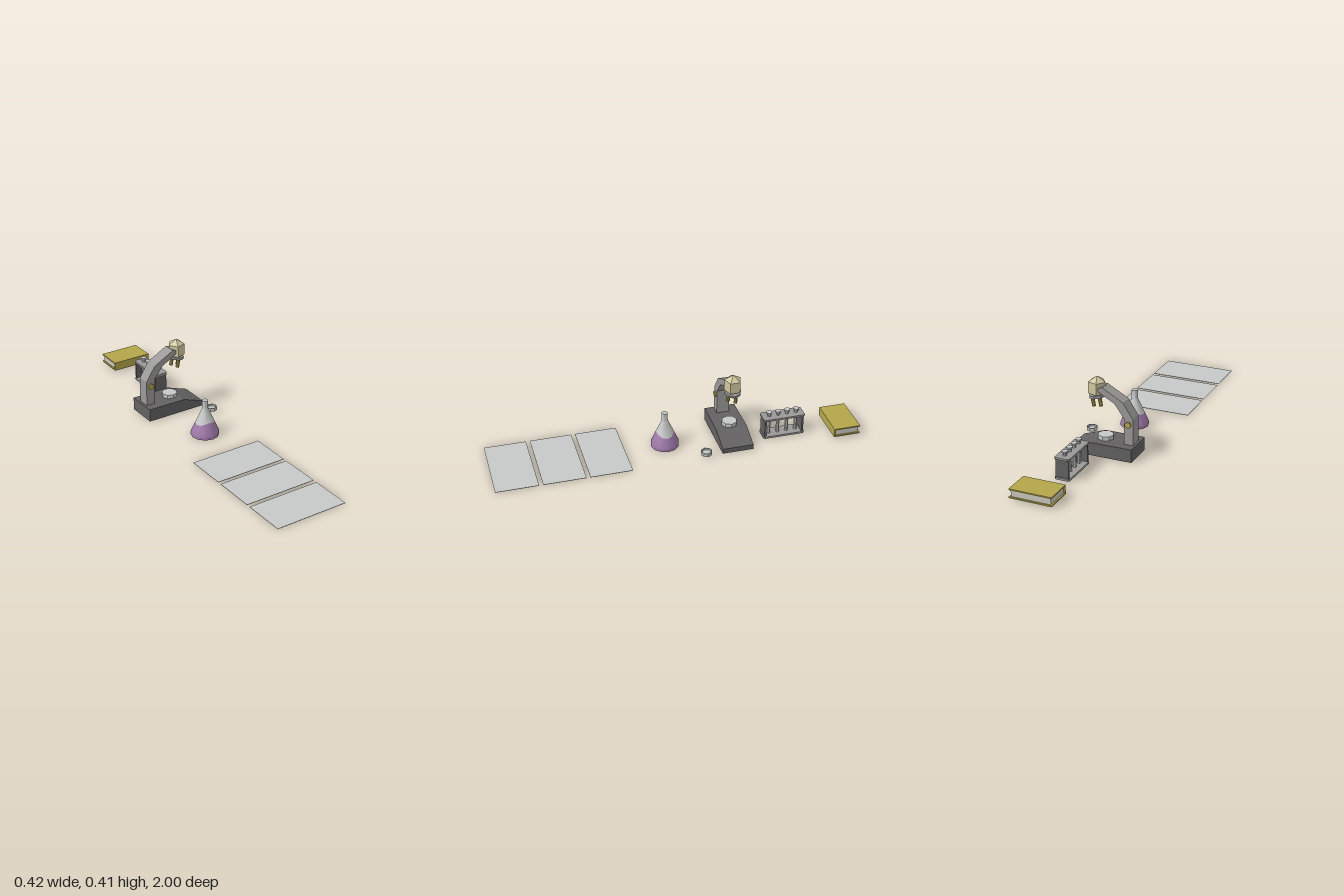
import * as THREE from 'three';
import { toCreasedNormals } from 'three/addons/utils/BufferGeometryUtils.js';

const paint = (name, color) => {
  const m = new THREE.MeshStandardMaterial({ color });
  m.name = name;
  return m;
};

export function createModel() {
  const mats = {
    dark: paint('darkGrey', 0x636161),
    mid: paint('midGrey', 0x9a9998),
    light: paint('lightGrey', 0xc6c9c8),
    yellow: paint('mustard', 0xb3a64b),
    beige: paint('beige', 0xcfc7a0),
    purple: paint('purple', 0xa07aaa),
    pages: paint('pages', 0xcac7ba),
  };
  const model = new THREE.Group();
  model.name = 'laboratorySet';
  const group = (name, parent = model) => {
    const g = new THREE.Group();
    g.name = name;
    parent.add(g);
    return g;
  };
  // adds a mesh; a small crease angle leaves every facet flat
  const add = (parent, name, geo, mat, x = 0, y = 0, z = 0, crease = 0.3) => {
    const mesh = new THREE.Mesh(toCreasedNormals(geo, crease), mat);
    mesh.name = name;
    mesh.position.set(x, y, z);
    parent.add(mesh);
    return mesh;
  };
  const box = (w, h, d) => new THREE.BoxGeometry(w, h, d);
  const cyl = (rt, rb, h, n, start = 0) => new THREE.CylinderGeometry(rt, rb, h, n, 1, false, start);
  const lathe = (pts, n) => new THREE.LatheGeometry(pts.map(p => new THREE.Vector2(...p)), n);
  const slab = (pts, depth) => new THREE.ExtrudeGeometry(
    new THREE.Shape(pts.map(p => new THREE.Vector2(...p))), { depth, bevelEnabled: false }
  ).translate(0, 0, -depth / 2);

  // three sheets of paper
  const sheets = group('paperSheets');
  for (const z of [0.387, 0.636, 0.886]) add(sheets, 'sheet', box(0.412, 0.002, 0.228), mats.light, -0.004, 0.001, z);

  // flask: liquid and glass meet in a wavy ring on the cone
  const flask = group('flask');
  flask.position.set(0.011, 0, 0.05);
  const R = 0.077, neck = 0.0165, y0 = 0.018, y1 = 0.157, level = 0.078;
  const coneR = y => R + (neck - R) * (y - y0) / (y1 - y0);
  const wavy = geo => {
    const p = geo.attributes.position;
    for (let i = 0; i < p.count; i++) {
      if (Math.abs(p.getY(i) - level) > 1e-4) continue;
      const a = Math.atan2(p.getX(i), p.getZ(i));
      const y = level + 0.008 * Math.cos(2 * a);
      p.setXYZ(i, Math.sin(a) * coneR(y), y, Math.cos(a) * coneR(y));
    }
    return geo;
  };
  add(flask, 'liquid', wavy(lathe([[R, 0], [R, y0], [coneR(level), level]], 12)), mats.purple, 0, 0, 0, 0.56);
  add(flask, 'glass', wavy(lathe([[coneR(level), level], [neck, y1], [neck, 0.204], [0, 0.204]], 12)), mats.light, 0, 0, 0, 0.56);
  add(flask, 'flaskBottom', new THREE.CircleGeometry(R, 12).rotateX(Math.PI / 2), mats.light);

  // shallow dish with a recessed top
  add(model, 'dish', lathe([[0, 0.015], [0.031, 0.015], [0.031, 0.034], [0.025, 0.034], [0.025, 0.024], [0, 0.024]], 8),
    mats.light, 0.178, 0, -0.135);

  // microscope
  const scope = group('microscope');
  scope.position.z = -0.312;
  add(scope, 'base', slab([[-0.167, 0], [0.18, 0], [0.18, 0.028], [0.055, 0.072], [-0.167, 0.072]], 0.172), mats.dark);
  add(scope, 'stage', cyl(0.043, 0.043, 0.022, 8), mats.light, 0.014, 0.083, 0);
  add(scope, 'arm', slab([[-0.154, 0.07], [-0.104, 0.07], [-0.104, 0.215], [-0.049, 0.288], [0.015, 0.322],
    [0.04, 0.338], [0.04, 0.356], [0.017, 0.363], [-0.099, 0.299], [-0.154, 0.215]], 0.07), mats.mid);
  add(scope, 'focusKnobs', cyl(0.0165, 0.0165, 0.09, 10).rotateX(Math.PI / 2), mats.yellow, -0.128, 0.184, 0);

  // five-sided head with pointed top and tapered underside
  add(scope, 'head', lathe([[0, 0.298], [0.047, 0.317], [0.047, 0.38], [0, 0.409]], 5).rotateY(-Math.PI / 2),
    mats.beige, 0.061, 0, 0);

  // tilted turret with three lenses
  const turret = group('turret', scope);
  turret.position.set(0.058, 0.3035, 0);
  turret.rotation.z = -0.178;
  add(turret, 'turretDisc', cyl(0.0455, 0.0455, 0.014, 8), mats.mid);
  for (let i = 0; i < 3; i++) {
    const a = (28 + i * 120) * Math.PI / 180;
    add(turret, 'lens', cyl(0.01, 0.01, 0.05, 8), mats.yellow, 0.0055 + 0.0237 * Math.cos(a), -0.031, -0.0237 * Math.sin(a));
  }

  // test tube rack
  const rack = group('tubeRack');
  rack.position.set(0.067, 0, -0.598);
  const w = 0.041, l = 0.117, c = 0.008;
  const plate = () => slab([[-w + c, -l], [w - c, -l], [w, -l + c], [w, l - c], [w - c, l], [-w + c, l], [-w, l - c], [-w, -l + c]],
    0.011).rotateX(-Math.PI / 2);
  add(rack, 'rackBottom', plate(), mats.mid, 0, 0.0055, 0);
  add(rack, 'rackTop', plate(), mats.mid, 0, 0.114, 0);
  for (const s of [-1, 1]) add(rack, 'rackEnd', box(0.072, 0.098, 0.01), mats.dark, 0, 0.0598, s * 0.106);
  for (let i = 0; i < 4; i++) {
    const z = (i - 1.5) * 0.0513;
    add(rack, 'tube', cyl(0.01, 0.01, 0.128, 8), mats.light, 0, 0.074, z);
    add(rack, 'tubeRim', cyl(0.017, 0.017, 0.008, 8), mats.light, 0, 0.141, z);
  }

  // book with its spine to the front
  const book = group('book');
  book.position.set(0.09, 0.035, -0.926);
  for (const s of [-1, 1]) add(book, 'cover', box(0.23, 0.007, 0.148), mats.yellow, 0, s * 0.0215, 0);
  add(book, 'spine', box(0.23, 0.036, 0.008), mats.yellow, 0, 0, 0.07);
  add(book, 'pages', box(0.214, 0.036, 0.132), mats.pages, 0, 0, 0);
  return model;
}
